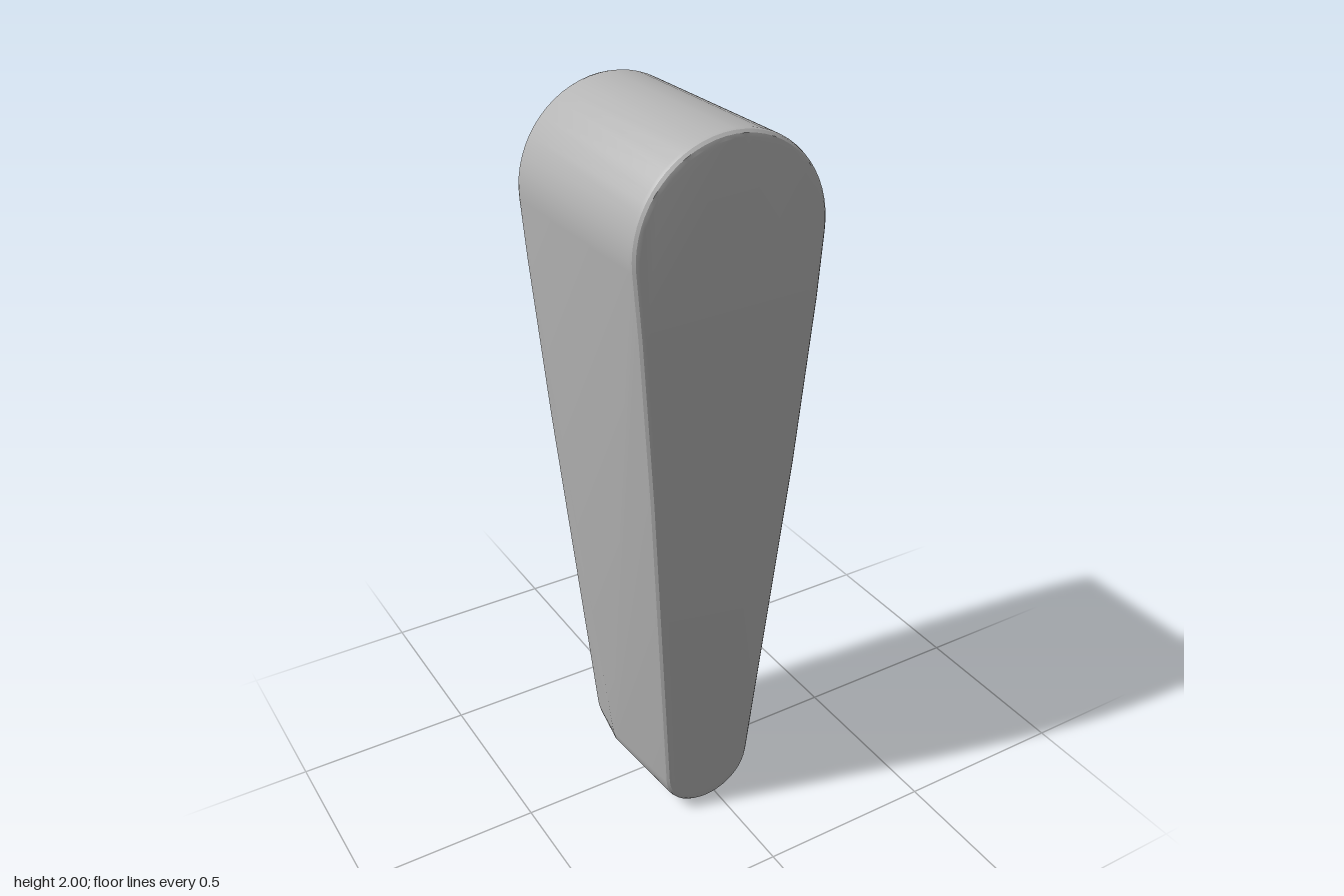
import * as THREE from 'three';
import { ConvexGeometry } from 'three/addons/geometries/ConvexGeometry.js';
import { toCreasedNormals } from 'three/addons/utils/BufferGeometryUtils.js';

const CX = -0.035;                                   // axis of the tapered outline
const TOP = { y: 1.738, r: 0.262 }, BOTTOM = { y: 0.135, r: 0.135 };

// Half depth of the body at a given height
const KNOTS = [[0, 0.205], [1.1, 0.277], [1.55, 0.294], [2.1, 0.294]];
function halfDepth(y) {
  const i = Math.max(1, KNOTS.findIndex(k => y <= k[0]));
  const [y0, d0] = KNOTS[i - 1], [y1, d1] = KNOTS[i];
  return d0 + (d1 - d0) * (y - y0) / (y1 - y0);
}

// Tapered outline with round ends, shrunk by an inset
function outline(inset) {
  const pts = [];
  const arc = (c, from, to, n) => {
    for (let i = 0; i <= n; i++) {
      const a = from + (to - from) * i / n;
      pts.push([CX + (c.r - inset) * Math.cos(a), c.y + (c.r - inset) * Math.sin(a)]);
    }
  };
  const tilt = Math.asin((TOP.r - BOTTOM.r) / (TOP.y - BOTTOM.y));
  arc(TOP, -tilt, Math.PI + tilt, 32);
  arc(BOTTOM, Math.PI + tilt, 2 * Math.PI - tilt, 20);
  // Side points where the depth taper changes
  for (const y of [1.1, 1.55]) {
    const t = (y - BOTTOM.y) / (TOP.y - BOTTOM.y);
    const w = (BOTTOM.r + (TOP.r - BOTTOM.r) * t - inset) / Math.cos(tilt);
    pts.push([CX + w, y], [CX - w, y]);
  }
  return pts;
}

export function createModel() {
  const group = new THREE.Group();
  const grey = new THREE.MeshStandardMaterial({ color: 0xb4b4b4 });
  grey.name = 'grey';

  // Both end faces, each with a small rounded rim
  const points = [];
  const R = 0.018;
  for (const a of [0, 30, 60, 90]) {
    const s = THREE.MathUtils.degToRad(a);
    for (const [x, y] of outline(R * (1 - Math.cos(s))))
      for (const side of [1, -1])
        points.push(new THREE.Vector3(x, y, side * (halfDepth(y) - R * (1 - Math.sin(s)))));
  }

  // Faceted ridge on the left side
  for (const p of [[0.295, 1.2, -0.015], [0.286, 1.14, -0.085], [0.285, 1.08, 0.05], [0.226, 0.45, 0], [0.218, 0.4, 0]])
    points.push(new THREE.Vector3(...p));
  // Shallow ridge on the right side
  points.push(new THREE.Vector3(-0.225, 0.18, 0), new THREE.Vector3(-0.217, 0.15, 0));

  const body = new THREE.Mesh(toCreasedNormals(new ConvexGeometry(points), 0.42), grey);
  body.name = 'taperedBody';
  group.add(body);
  return group;
}
